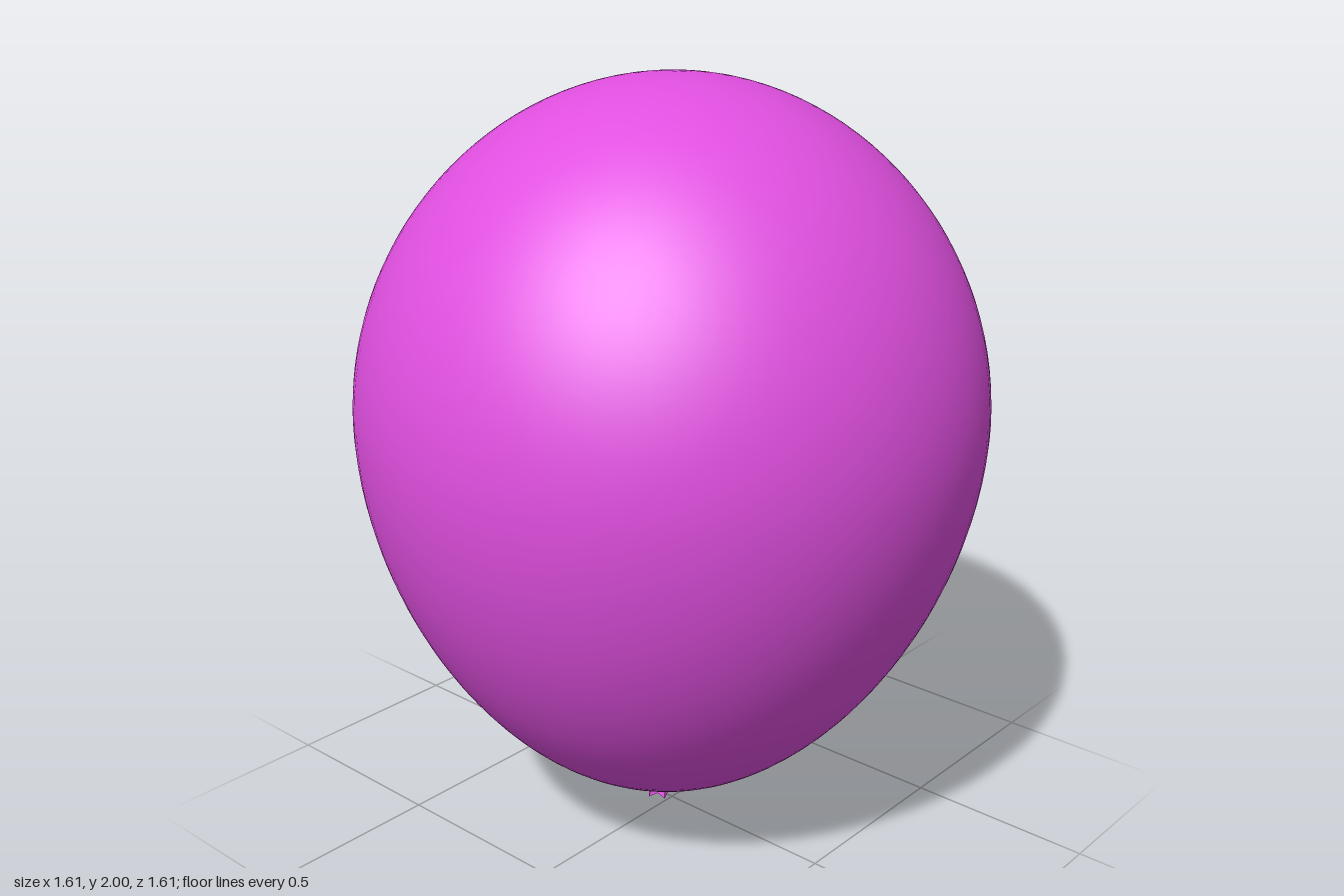
import * as THREE from 'three';

export function createModel() {
  const model = new THREE.Group();
  const color = 0xe04fe0;
  const midY = 1.15; // height of the widest ring

  // Everything leans a little about the widest ring
  const balloon = new THREE.Group();
  balloon.name = 'balloon';
  balloon.position.y = midY;
  balloon.rotation.z = -0.04;
  model.add(balloon);

  // Egg-shaped envelope: round dome above, longer taper below
  const profile = [];
  const steps = 64;
  for (let i = 0; i <= steps; i++) {
    const t = -Math.PI / 2 + (Math.PI * i) / steps;
    const s = Math.sin(t);
    const slim = s < 0 ? 1 - 0.1 * Math.pow(-s, 1.6) : 1 - 0.02 * s * s;
    const r = i === 0 || i === steps ? 0 : 0.807 * Math.cos(t) * slim;
    profile.push(new THREE.Vector2(r, s * (s < 0 ? 1.05 : 0.85)));
  }
  const envelope = new THREE.Mesh(
    new THREE.LatheGeometry(profile, 96),
    new THREE.MeshStandardMaterial({ color })
  );
  envelope.name = 'envelope';
  balloon.add(envelope);

  // Pleated knot: a small flared skirt with a hollow underside
  const height = 0.1;
  const skirt = new THREE.CylinderGeometry(0.01, 0.038, height, 12, 2);
  const pos = skirt.attributes.position;
  for (let i = 0; i < pos.count; i++) {
    const x = pos.getX(i), y = pos.getY(i), z = pos.getZ(i);
    const r = Math.hypot(x, z);
    const flare = 0.5 - y / height; // 0 at the neck, 1 at the hem
    if (r < 1e-6) {
      if (y < 0) pos.setY(i, y + 0.045);
      continue;
    }
    const pleat = Math.cos(6 * Math.atan2(x, z));
    const k = 1 + 0.18 * pleat * flare;
    pos.setXYZ(i, x * k, y + 0.005 * (1 - pleat) * flare, z * k);
  }
  const knot = new THREE.Mesh(
    skirt,
    new THREE.MeshStandardMaterial({ color, flatShading: true, side: THREE.DoubleSide })
  );
  knot.name = 'knot';
  knot.position.y = -midY + 0.002 + height / 2;
  balloon.add(knot);

  return model;
}
